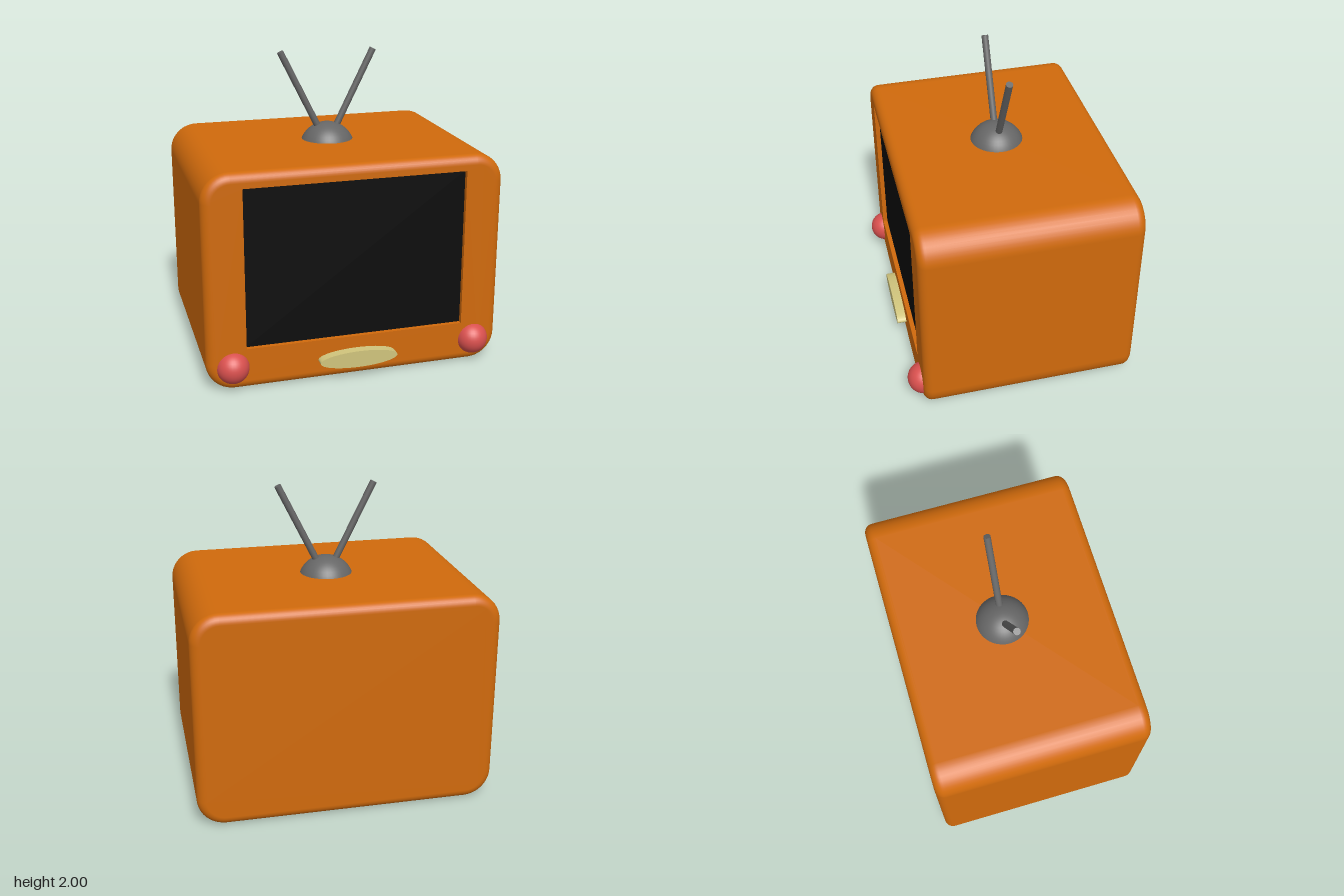
import * as THREE from 'three';

const W = 0.965, H = 1.405, BACK = -0.745, FRONT = 0.66; // cabinet extents
const R = 0.18, BEVEL = 0.06;                            // corner radius, edge rounding
const SCREEN = { x: 0.713, y0: 0.275, y1: 1.31, depth: 0.03 };
const AZ = -0.045;                                       // antenna depth position

const mat = (color) => new THREE.MeshStandardMaterial({ color });

// Rounded-rectangle outline, shrunk by inset; each point carries its outward normal.
function outline(inset, steps = 10) {
  const pts = [];
  [[1, 1], [-1, 1], [-1, -1], [1, -1]].forEach(([sx, sy], corner) => {
    for (let i = 0; i <= steps; i++) {
      const a = (corner + i / steps) * Math.PI / 2;
      const nx = Math.cos(a), ny = Math.sin(a);
      pts.push({
        x: sx * (W - R) + nx * (R - inset),
        y: H / 2 + sy * (H / 2 - R) + ny * (R - inset),
        nx, ny,
      });
    }
  });
  return pts;
}

// Cabinet wall: outlines lofted from back to front, with rounded rims.
function wallGeometry() {
  const pos = [], nor = [], idx = [], steps = 8, rings = [];
  for (let i = 0; i <= steps; i++) rings.push([BACK + BEVEL, -Math.PI / 2 * (1 - i / steps)]);
  for (let i = 0; i <= steps; i++) rings.push([FRONT - BEVEL, Math.PI / 2 * i / steps]);
  let n = 0;
  for (const [z, t] of rings) {
    const pts = outline(BEVEL * (1 - Math.cos(t)));
    n = pts.length;
    for (const p of pts) {
      pos.push(p.x, p.y, z + BEVEL * Math.sin(t));
      nor.push(p.nx * Math.cos(t), p.ny * Math.cos(t), Math.sin(t));
    }
  }
  for (let r = 0; r < rings.length - 1; r++) {
    for (let i = 0; i < n; i++) {
      const a = r * n + i, b = r * n + (i + 1) % n;
      idx.push(a, b, b + n, a, b + n, a + n);
    }
  }
  const g = new THREE.BufferGeometry();
  g.setAttribute('position', new THREE.Float32BufferAttribute(pos, 3));
  g.setAttribute('normal', new THREE.Float32BufferAttribute(nor, 3));
  g.setIndex(idx);
  return g;
}

export function createModel() {
  const model = new THREE.Group();
  model.name = 'television';
  const orange = mat(0xd06a0c), grey = mat(0x666666);
  const red = mat(0xd9504e), cream = mat(0xd0c47c), black = mat(0x0c0c0c);

  const add = (parent, name, geometry, material, x = 0, y = 0, z = 0) => {
    const mesh = new THREE.Mesh(geometry, material);
    mesh.name = name;
    mesh.position.set(x, y, z);
    parent.add(mesh);
    return mesh;
  };

  // Cabinet: wall, back panel and front panel with a screen opening
  const cabinet = new THREE.Group();
  cabinet.name = 'cabinet';
  model.add(cabinet);
  add(cabinet, 'cabinetWall', wallGeometry(), orange);
  const face = () => new THREE.Shape(outline(BEVEL).map((p) => new THREE.Vector2(p.x, p.y)));
  const back = new THREE.ShapeGeometry(face());
  back.translate(0, -H / 2, 0).rotateY(Math.PI);
  add(cabinet, 'backPanel', back, orange, 0, H / 2, BACK);
  const { x: sx, y0, y1, depth } = SCREEN;
  const frontShape = face();
  frontShape.holes.push(new THREE.Path([
    new THREE.Vector2(-sx, y0), new THREE.Vector2(-sx, y1),
    new THREE.Vector2(sx, y1), new THREE.Vector2(sx, y0),
  ]));
  const frontGeo = new THREE.ExtrudeGeometry(frontShape, { depth, bevelEnabled: false });
  // keep the panel's outer rim just inside the rounded wall
  add(cabinet, 'frontPanel', frontGeo, orange, 0, 0, FRONT - depth);

  // Recessed screen
  add(model, 'screen', new THREE.PlaneGeometry(2 * sx, y1 - y0), black,
    0, (y0 + y1) / 2, FRONT - depth);

  // Oval front plate
  const plate = new THREE.CylinderGeometry(1, 1, 0.12, 48);
  plate.rotateX(Math.PI / 2).scale(0.255, 0.055, 1);
  add(model, 'ovalPlate', plate, cream, 0, 0.14, FRONT);

  // Antenna dome, sunk into the cabinet top
  add(model, 'antennaBase', new THREE.SphereGeometry(0.186, 40, 24), grey, 0, 1.329, AZ);

  // Mirrored knobs and antenna rods
  for (const [side, s] of [['left', 1], ['right', -1]]) {
    add(model, side + 'Knob', new THREE.SphereGeometry(0.104, 32, 20), red, s * 0.8, 0.155, 0.641);
    const from = new THREE.Vector3(s * 0.03, 1.42, AZ), to = new THREE.Vector3(s * 0.313, 1.99, AZ);
    const dir = to.clone().sub(from);
    const rod = add(model, side + 'Antenna',
      new THREE.CylinderGeometry(0.022, 0.022, dir.length(), 20), grey);
    rod.position.copy(from).add(to).multiplyScalar(0.5);
    rod.quaternion.setFromUnitVectors(new THREE.Vector3(0, 1, 0), dir.normalize());
  }
  return model;
}
